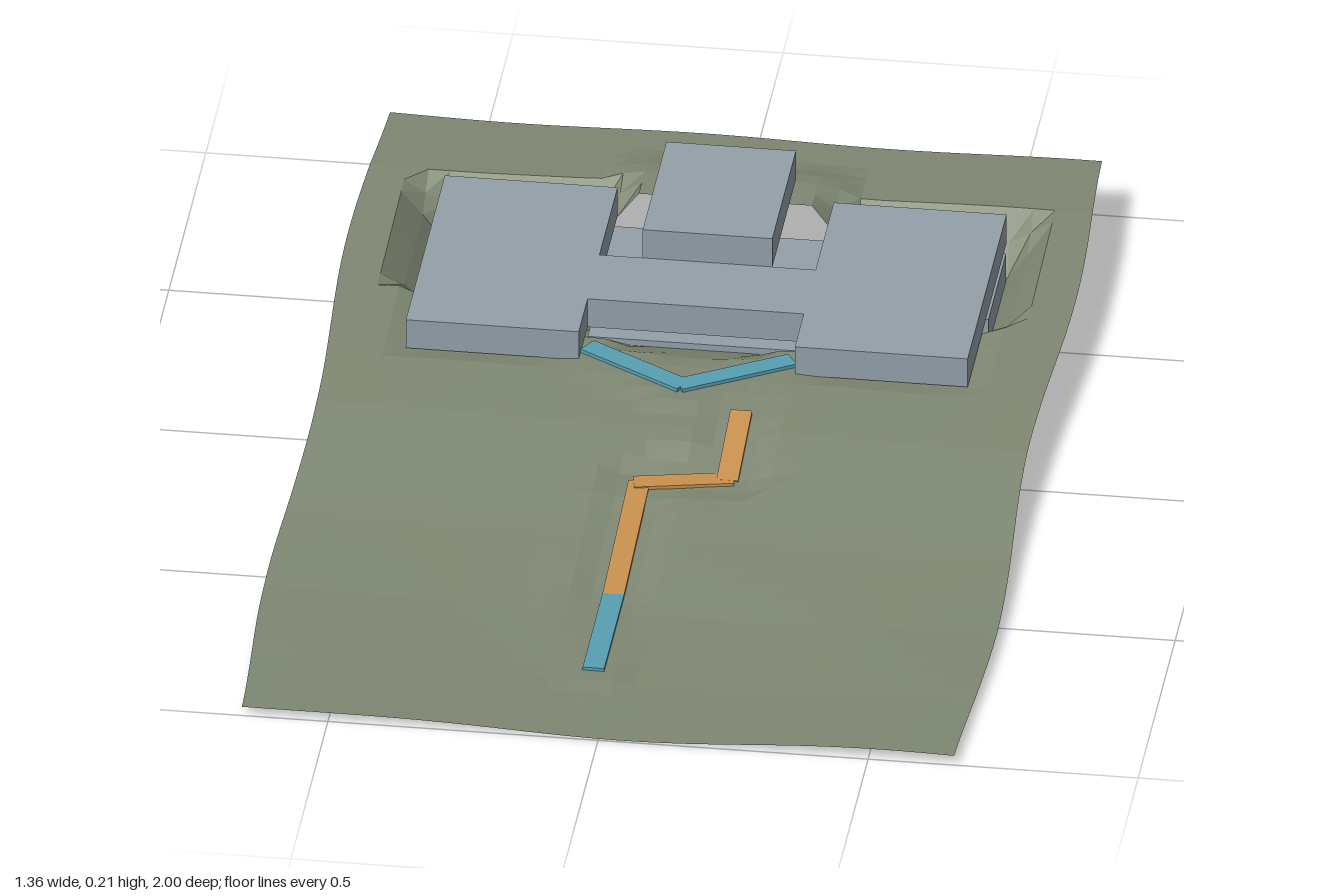
import * as THREE from 'three';

const terrainMat = new THREE.MeshStandardMaterial({ color: 0x7f8873, side: THREE.DoubleSide, flatShading: true });
terrainMat.name = 'grass green';
const wallMat = new THREE.MeshStandardMaterial({ color: 0x94a0a9 });
wallMat.name = 'concrete grey';
const rampMat = new THREE.MeshStandardMaterial({ color: 0xc8914f });
rampMat.name = 'ramp orange';
const pathMat = new THREE.MeshStandardMaterial({ color: 0x56a0b3 });
pathMat.name = 'path blue';

// Path pieces: [name, material, start, end, base height]; points are [x, top y, z]
const PATHS = [
  ['lowerPath', pathMat, [-0.04, 0.02, 0.77], [-0.04, 0.02, 0.5], 0.014],
  ['lowerRamp', rampMat, [-0.04, 0.02, 0.5], [-0.04, 0.056, 0.15], 0.015],
  ['landing', rampMat, [-0.05, 0.056, 0.155], [0.13, 0.058, 0.12], 0.05],
  ['upperRamp', rampMat, [0.12, 0.058, 0.13], [0.12, 0.096, -0.06], 0.055],
  ['forecourtRight', pathMat, [-0.19, 0.105, -0.24], [0.005, 0.105, -0.122], 0.098],
  ['forecourtLeft', pathMat, [0.19, 0.105, -0.24], [-0.005, 0.105, -0.122], 0.098],
];

// Hillside profile, from front to back: [z, y]
const SLOPE = [[1, 0.017], [0.8, 0.013], [0.56, 0.018], [0.3, 0.04], [0.1, 0.071], [0, 0.086],
  [-0.2, 0.1], [-0.5, 0.112], [-0.8, 0.124], [-1, 0.116]];

// Sunken storey footprint: [x half width, z back, z front]
const PIT = [[0.52, -0.72, -0.48], [0.2, -0.48, -0.32]];

const { lerp, smoothstep, clamp } = THREE.MathUtils;

function slopeHeight(z) {
  const i = Math.max(1, SLOPE.findIndex(p => p[0] <= z + 1e-6));
  const [a, b] = [SLOPE[i - 1], SLOPE[i]];
  return lerp(a[1], b[1], clamp((z - a[0]) / (b[0] - a[0]), 0, 1));
}

function pitDistance(x, z) {
  return Math.min(...PIT.map(([w, z0, z1]) =>
    Math.hypot(Math.max(Math.abs(x) - w, 0), Math.max(z0 - z, z - z1, 0))));
}

function groundHeight(x, z) {
  const ax = Math.abs(x);
  let y = slopeHeight(z) - 0.008 * Math.cos(x * 5) * smoothstep(z, 0.3, 0.8)
    + 0.003 * Math.sin(x * 9 + z * 4);
  // ground stays under the wings
  if (ax < 0.53 && z < -0.19 && z > -0.73) y = Math.min(y, 0.092);
  // bank behind the middle, meeting the top storey
  const bank = (1 - smoothstep(ax, 0.17, 0.25)) * (z < -0.71 ? smoothstep(z, -0.92, -0.8) : 0);
  y = lerp(y, 0.148, bank);
  // steep drop to the sunken storey
  const drop = (1 - clamp(pitDistance(x, z) / 0.075, 0, 1)) * (1 - bank);
  y = lerp(y, 0.018, z > -0.4 ? drop * 0.4 : drop);
  // grading along the paths
  for (const [, , a, b] of PATHS) {
    const dx = b[0] - a[0], dz = b[2] - a[2];
    const t = clamp(((x - a[0]) * dx + (z - a[2]) * dz) / (dx * dx + dz * dz), 0, 1);
    const d = Math.hypot(x - a[0] - t * dx, z - a[2] - t * dz);
    y = lerp(lerp(a[1], b[1], t) - 0.007, y, smoothstep(d, 0.042, 0.085));
  }
  return Math.max(y, 0);
}

// Grid of ground with the sunken storey cut out
function makeTerrain() {
  const step = 0.04, nx = 34, nz = 50, pos = [], index = [];
  for (let j = 0; j <= nz; j++) {
    for (let i = 0; i <= nx; i++) {
      const z = -1 + j * step;
      let x = -0.68 + i * step;
      if (i === 0 || i === nx) x = Math.sign(x) * (0.668 - 0.01 * Math.cos(z * 5.8));
      pos.push(x, groundHeight(x, z), z);
      if (i === nx || j === nz) continue;
      if (pitDistance(-0.66 + i * step, z + step / 2) < 1e-6) continue;
      const a = j * (nx + 1) + i, b = a + nx + 1;
      index.push(a, b, a + 1, b, b + 1, a + 1);
    }
  }
  const g = new THREE.BufferGeometry();
  g.setAttribute('position', new THREE.Float32BufferAttribute(pos, 3));
  g.setIndex(index);
  g.computeVertexNormals();
  const mesh = new THREE.Mesh(g, terrainMat);
  mesh.name = 'terrain';
  return mesh;
}

// Box given by its limits
function block(name, x0, x1, y0, y1, z0, z1) {
  const mesh = new THREE.Mesh(new THREE.BoxGeometry(x1 - x0, y1 - y0, z1 - z0), wallMat);
  mesh.position.set((x0 + x1) / 2, (y0 + y1) / 2, (z0 + z1) / 2);
  mesh.name = name;
  return mesh;
}

// Flat-based strip whose top runs from point a to point b
function strip([name, mat, a, b, base]) {
  const dx = b[0] - a[0], dz = b[2] - a[2];
  let g = new THREE.BoxGeometry(0.04, 1, Math.hypot(dx, dz));
  const p = g.attributes.position;
  for (let i = 0; i < p.count; i++) {
    const top = p.getZ(i) < 0 ? a[1] : b[1];
    p.setY(i, p.getY(i) > 0 ? top : base);
  }
  g = g.toNonIndexed();
  g.computeVertexNormals();
  const mesh = new THREE.Mesh(g, mat);
  mesh.rotation.y = Math.atan2(dx, dz);
  mesh.position.set((a[0] + b[0]) / 2, 0, (a[2] + b[2]) / 2);
  mesh.name = name;
  return mesh;
}

export function createModel() {
  const model = new THREE.Group();
  model.name = 'hillsideBuilding';
  model.add(makeTerrain());

  const building = new THREE.Group();
  building.name = 'building';
  building.add(
    block('sunkenStorey', -0.52, 0.52, 0.015, 0.075, -0.72, -0.48),
    block('sunkenFrontRoom', -0.2, 0.2, 0.015, 0.075, -0.48, -0.32),
    block('rightWing', -0.52, -0.2, 0.095, 0.155, -0.725, -0.2),
    block('leftWing', 0.2, 0.52, 0.095, 0.155, -0.725, -0.2),
    block('middleHall', -0.2, 0.2, 0.095, 0.155, -0.48, -0.32),
    block('topStorey', -0.12, 0.12, 0.155, 0.215, -0.8, -0.48),
  );
  model.add(building);

  const paths = new THREE.Group();
  paths.name = 'paths';
  PATHS.forEach(p => paths.add(strip(p)));
  model.add(paths);
  return model;
}
